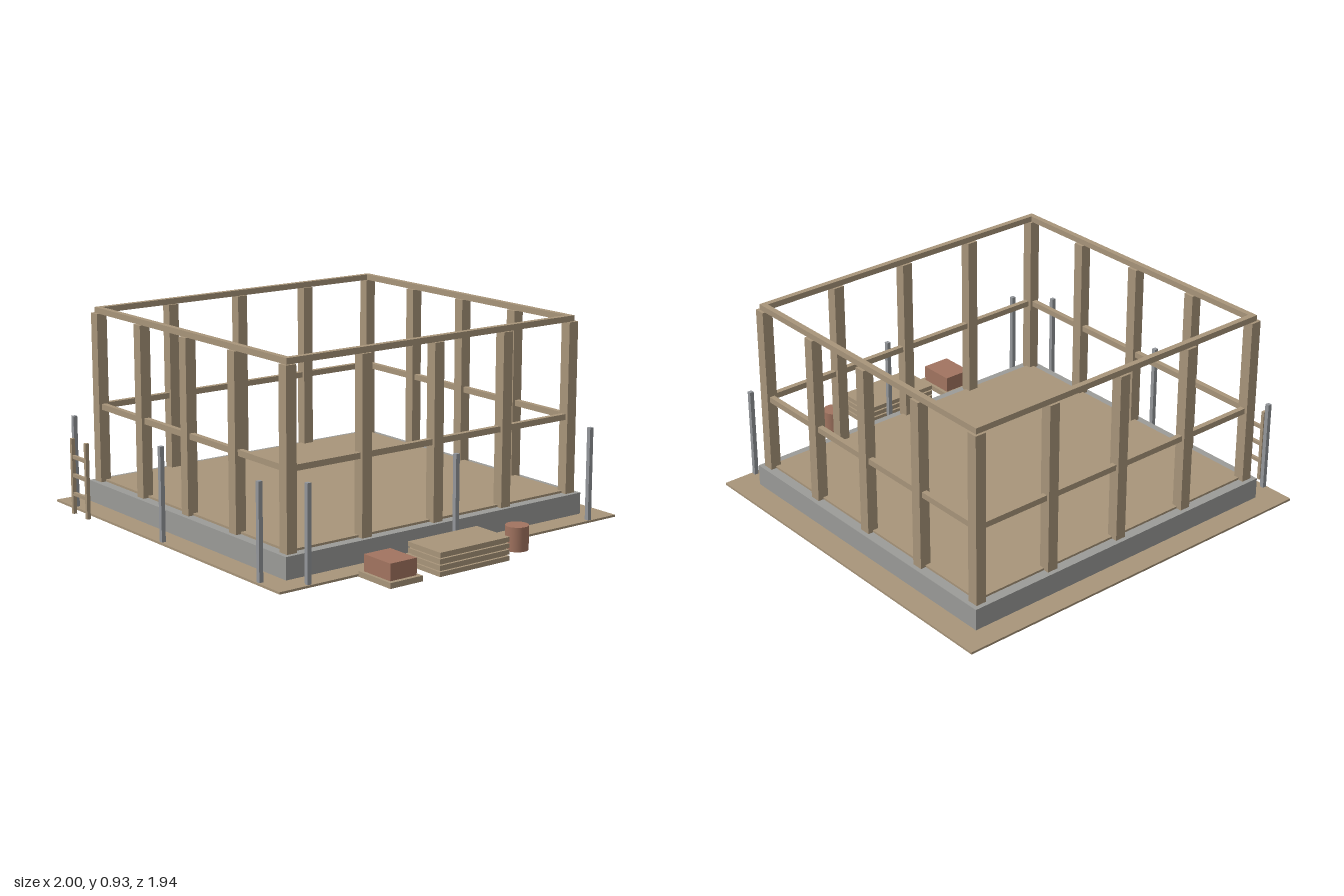
import * as THREE from 'three';

const wood = new THREE.MeshStandardMaterial({ name: 'timber', color: 0xa8957a });
const concrete = new THREE.MeshStandardMaterial({ name: 'concrete', color: 0x9b9b98 });
const steel = new THREE.MeshStandardMaterial({ name: 'steel', color: 0x94979b });
const brick = new THREE.MeshStandardMaterial({ name: 'brick', color: 0xa27460 });

// Box given by its min and max on each axis
function box(parent, name, mat, x0, x1, y0, y1, z0, z1) {
  const mesh = new THREE.Mesh(new THREE.BoxGeometry(x1 - x0, y1 - y0, z1 - z0), mat);
  mesh.position.set((x0 + x1) / 2, (y0 + y1) / 2, (z0 + z1) / 2);
  mesh.name = name;
  parent.add(mesh);
  return mesh;
}

function group(parent, name) {
  const g = new THREE.Group();
  g.name = name;
  parent.add(g);
  return g;
}

// House centre and half extents of the wall centrelines
const CX = -0.108, CZ = -0.023, HX = 0.735, HZ = 0.785;

// Four bars running round the wall centreline
function ring(parent, name, mat, y0, y1, width) {
  const g = group(parent, name), w = width / 2;
  for (const s of [-1, 1]) {
    const z = CZ + s * HZ, x = CX + s * HX;
    box(g, name + 'AlongX', mat, CX - HX - w, CX + HX + w, y0, y1, z - w, z + w);
    box(g, name + 'AlongZ', mat, x - w, x + w, y0, y1, CZ - HZ + w, CZ + HZ - w);
  }
}

export function createModel() {
  const model = new THREE.Group();
  model.name = 'houseFrameSite';

  // Ground, footing and floor
  box(model, 'ground', wood, -1, 0.785, 0, 0.01, -0.97, 0.922);
  ring(model, 'foundation', concrete, 0.005, 0.11, 0.094);
  box(model, 'floor', wood, CX - HX, CX + HX, 0.1, 0.12, CZ - HZ, CZ + HZ);

  // Timber frame: posts on a 4 x 4 bay grid, perimeter only
  const posts = group(model, 'posts');
  for (let i = 0; i <= 4; i++) {
    for (let j = 0; j <= 4; j++) {
      if (i % 4 && j % 4) continue;
      const x = CX + HX * (i / 2 - 1), z = CZ + HZ * (j / 2 - 1), w = 0.026;
      box(posts, 'post', wood, x - w, x + w, 0.11, 0.905, z - w, z + w);
    }
  }
  ring(model, 'middleRail', wood, 0.455, 0.482, 0.025);
  ring(model, 'topPlate', wood, 0.905, 0.932, 0.027);

  // Scaffold poles along the front and the left side
  const poles = group(model, 'scaffoldPoles');
  for (const k of [-1, 0, 1]) {
    for (const [x, z] of [[CX + k * HX, 0.907], [0.77, CZ + k * 0.79]]) {
      box(poles, 'pole', steel, x - 0.01, x + 0.01, 0.005, 0.44, z - 0.01, z + 0.01);
    }
  }

  // Ladder
  const ladder = group(model, 'ladder');
  for (const x of [-0.772, -0.65]) {
    box(ladder, 'ladderRail', wood, x - 0.008, x + 0.008, 0, 0.355, 0.952, 0.97);
  }
  for (const y of [0.095, 0.183, 0.27]) {
    box(ladder, 'rung', wood, -0.772, -0.65, y - 0.008, y + 0.008, 0.954, 0.968);
  }

  // Stacked boards kept apart by spacers
  const stack = group(model, 'lumberStack');
  for (let i = 0; i < 4; i++) {
    const y = i * 0.028;
    box(stack, 'board', wood, 0.788, 1, y, y + 0.021, -0.128, 0.257);
    if (i < 3) box(stack, 'spacer', wood, 0.8, 0.988, y + 0.021, y + 0.028, -0.118, 0.247);
  }

  // Bricks on a pallet
  const pallet = group(model, 'brickPallet');
  box(pallet, 'pallet', wood, 0.788, 1, 0, 0.025, 0.35, 0.521);
  box(pallet, 'bricks', brick, 0.806, 0.98, 0.025, 0.1, 0.366, 0.506);

  // Barrel
  const barrel = new THREE.Mesh(new THREE.CylinderGeometry(0.052, 0.052, 0.11, 24), brick);
  barrel.position.set(0.892, 0.055, -0.268);
  barrel.name = 'barrel';
  model.add(barrel);

  return model;
}
